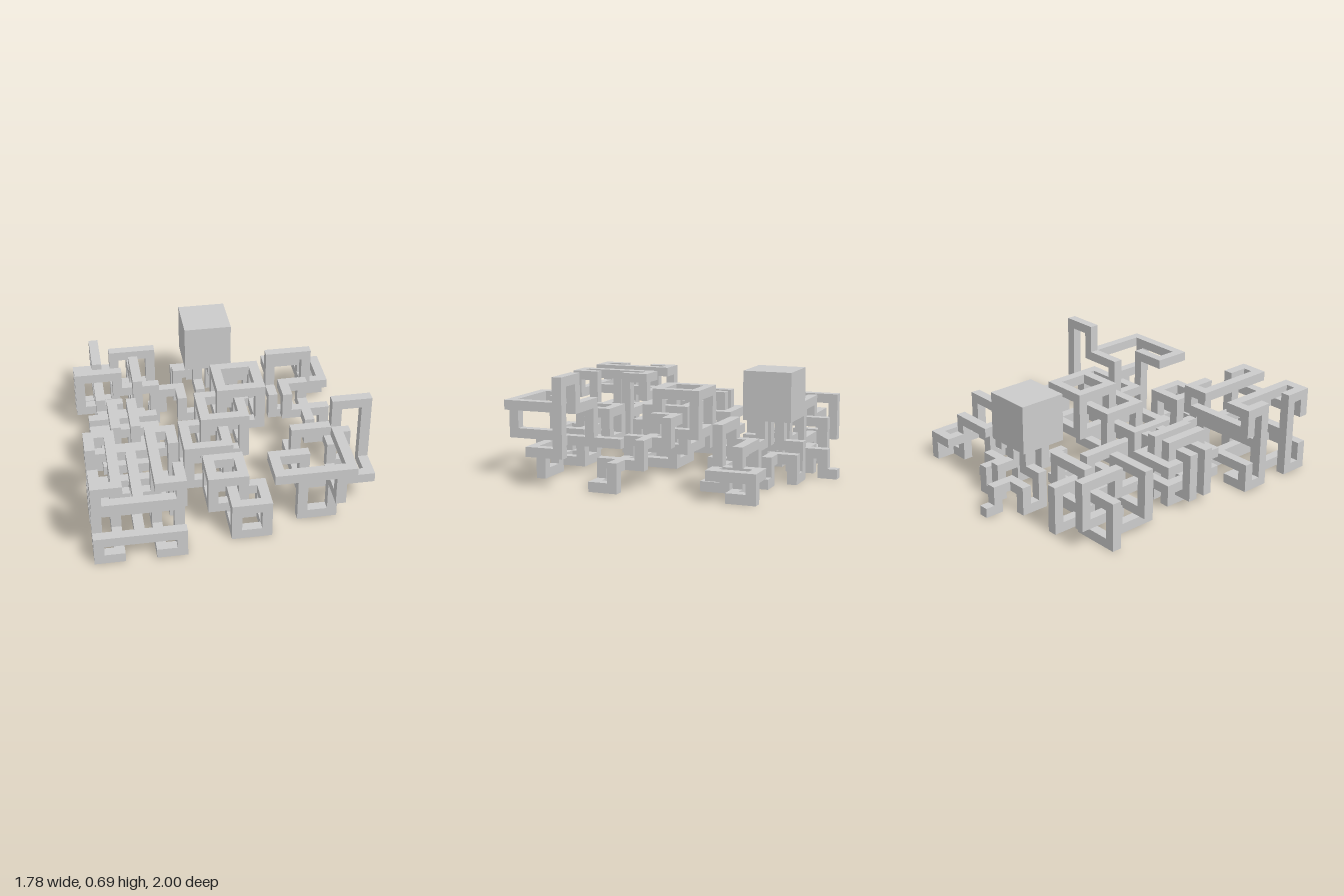
import * as THREE from 'three';

const U = 0.0625; // lattice cell, also the beam thickness
const mat = new THREE.MeshStandardMaterial({ color: 0xcccccc, flatShading: true });

// Group whose lattice cell (0,0,0) has its minimum corner at (x, 0, z)
function cluster(parent, name, x, z) {
  const g = new THREE.Group();
  g.name = name;
  g.position.set(x, 0, z);
  parent.add(g);
  return g;
}

// Square beam filling all cells from a to b
function beam(g, a, b, name = 'beam') {
  const lo = a.map((v, i) => Math.min(v, b[i]));
  const n = a.map((v, i) => Math.abs(v - b[i]) + 1);
  const m = new THREE.Mesh(new THREE.BoxGeometry(n[0] * U, n[1] * U, n[2] * U), mat);
  m.position.set(...lo.map((v, i) => (v + n[i] / 2) * U));
  m.name = name;
  g.add(m);
}

// Chain of beams through lattice points; each later beam starts past the corner
function path(g, pts, name = 'beam') {
  for (let i = 1; i < pts.length; i++) {
    const a = pts[i - 1], b = pts[i];
    const start = i === 1 ? a : a.map((v, k) => v + Math.sign(b[k] - v));
    beam(g, start, b, name);
  }
}

// Edges of a box between two corner cells; flat boxes become single frames
function frame(g, a, b, name = 'frame') {
  for (let k = 0; k < 3; k++) {
    const i = (k + 1) % 3, j = (k + 2) % 3;
    if (a[k] === b[k]) continue;
    for (const p of new Set([a[i], b[i]])) for (const q of new Set([a[j], b[j]])) {
      const s = [], e = [];
      s[k] = a[k]; e[k] = b[k];
      s[i] = e[i] = p;
      s[j] = e[j] = q;
      beam(g, s, e, name);
    }
  }
}

// Six-cornered loop round a cube of edge n: low at the front, high at the back
function hexLoop(g, [x, y, z], n) {
  const c = [[1, 0, 1], [1, 0, 0], [1, 1, 0], [0, 1, 0], [0, 1, 1], [0, 0, 1], [1, 0, 1]];
  path(g, c.map(p => [x + p[0] * n, y + p[1] * n, z + p[2] * n]), 'loopBeam');
}

export function createModel() {
  const root = new THREE.Group();
  root.name = 'beamKnots';

  // Four stepped rings linked into a lattice
  const woven = cluster(root, 'linkedRings', -0.89, -0.815);
  const ring = [[0, 6], [4, 6], [4, 4], [8, 4], [8, 0], [4, 0], [4, 2], [0, 2], [0, 6]];
  for (const c of [2, 6]) {
    const t = v => (c === 2 ? v : 8 - v);
    path(woven, ring.map(([s, y]) => [c, y, t(s)]), 'lengthwiseRing');
    path(woven, ring.map(([s, y]) => [8 - t(s), y, c]), 'crosswiseRing');
  }

  // Three pairs of interlocked frames
  const trio = cluster(root, 'interlockedFrames', -0.83, -0.13);
  for (const c of [2, 4]) {
    frame(trio, [1, c, 0], [5, c, 6]);
    frame(trio, [0, 1, c], [6, 5, c]);
    frame(trio, [c, 0, 1], [c, 6, 5]);
  }

  // Openwork cage: face bars, corner hooks and inner crossbars
  const cage = cluster(root, 'cage', -0.89, 0.4375);
  for (const f of [0, 8]) for (const c of [2, 6]) {
    beam(cage, [c, f, 0], [c, f, 8], 'faceBar');
    beam(cage, [f, 0, c], [f, 8, c], 'faceBar');
    beam(cage, [0, c, f], [8, c, f], 'faceBar');
  }
  for (const x of [0, 8]) for (const y of [0, 8]) for (const z of [0, 8]) {
    const q = v => (v ? 7 : 1);
    beam(cage, [x, y, z], [q(x), y, z], 'cornerHook');
    beam(cage, [x, q(y), z], [x, q(y), z], 'cornerHook');
    beam(cage, [x, y, q(z)], [x, y, q(z)], 'cornerHook');
  }
  for (const c of [2, 6]) {
    beam(cage, [1, 4, c], [7, 4, c], 'innerBar');
    beam(cage, [4, c, 1], [4, c, 7], 'innerBar');
    beam(cage, [c, 1, 4], [c, 7, 4], 'innerBar');
  }
  beam(cage, [3, 4, 4], [5, 4, 4], 'innerCross');
  beam(cage, [4, 4, 3], [4, 4, 5], 'innerCross');
  beam(cage, [4, 3, 4], [4, 5, 4], 'innerCross');

  // Solid cube carried by four winding legs
  const stand = cluster(root, 'cubeOnLegs', -0.39, -1);
  beam(stand, [4, 6, 4], [8, 10, 8], 'cube');
  const leg = [[5, 0, 0], [5, 0, 1], [5, 2, 1], [5, 2, 3], [3, 2, 3], [3, 0, 3], [3, 0, 5],
    [3, 3, 5], [5, 3, 5], [5, 5, 5]];
  let turned = leg;
  for (let i = 0; i < 4; i++) {
    path(stand, turned, 'leg');
    turned = turned.map(([x, y, z]) => [12 - z, y, x]);
  }

  // Three overlapping open cubes rising on a diagonal
  const centre = cluster(root, 'centreKnot', -0.26, -0.19);
  for (const i of [0, 2, 4]) frame(centre, [i, i, 4 - i], [i + 4, i + 4, 8 - i], 'openCube');

  // Two interlocked open cubes
  const pair = cluster(root, 'openCubePair', -0.17, 0.53);
  frame(pair, [0, 2, 0], [3, 5, 3], 'openCube');
  frame(pair, [2, 0, 2], [5, 3, 5], 'openCube');

  // Folded closed path
  const folded = cluster(root, 'foldedPath', 0.42, -0.755);
  path(folded, [[0, 6, 4], [4, 6, 4], [4, 2, 4], [6, 2, 4], [6, 2, 0], [6, 0, 0], [6, 0, 2], [4, 0, 2],
    [4, 4, 2], [0, 4, 2], [0, 4, 4], [0, 5, 4]]);
  path(folded, [[5, 2, 0], [4, 2, 0], [4, 2, 3]], 'backBranch');
  path(folded, [[3, 2, 4], [2, 2, 4], [2, 0, 4], [2, 0, 6], [0, 0, 6],
    [0, 2, 6], [0, 2, 4], [0, 3, 4]], 'frontBranch');

  // Staircase of small loops
  const stairs = cluster(root, 'stairLoops', 0.435, -0.135);
  for (const i of [0, 2, 4]) hexLoop(stairs, [i, 4 - i, i], 2);

  // Long wandering path with a tall arch
  const wander = cluster(root, 'tallWanderingPath', 0.2, 0.28);
  path(wander, [[3, 3, 0], [3, 3, 6], [10, 3, 6], [10, 3, 3], [10, 10, 3], [7, 10, 3], [7, 7, 3],
    [7, 7, 10], [0, 7, 10], [0, 7, 7], [3, 7, 7], [3, 0, 7], [6, 0, 7], [6, 3, 7]]);
  path(wander, [[6, 6, 10], [6, 4, 10], [6, 4, 6]], 'innerBranch');
  path(wander, [[6, 7, 3], [3, 7, 3], [3, 4, 3]], 'sideBranch');

  return root;
}
